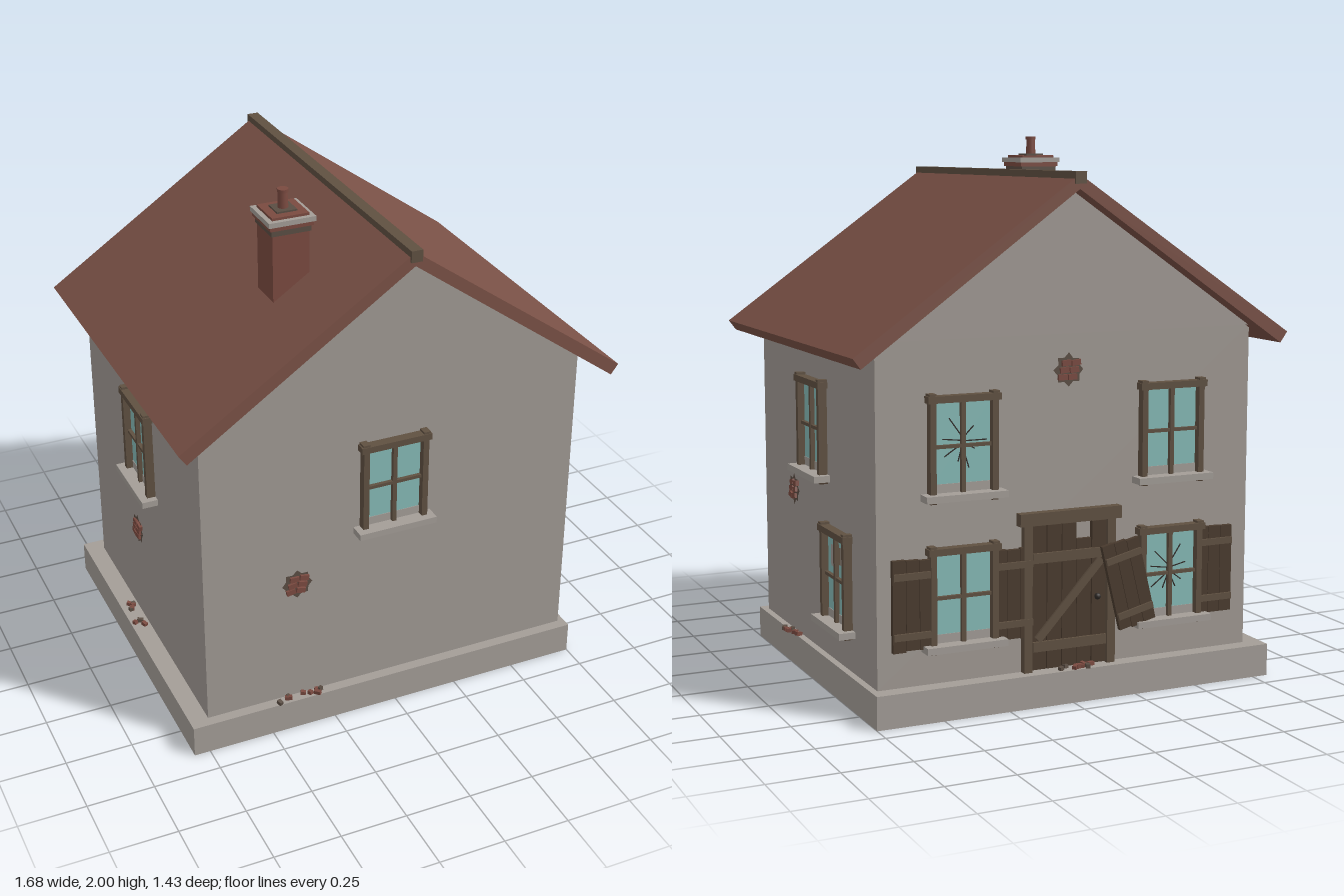
import * as THREE from 'three';

const mat = (name, color, side = THREE.FrontSide) => {
  const m = new THREE.MeshStandardMaterial({ color, side });
  m.name = name;
  return m;
};

export function createModel() {
  const M = {
    wall: mat('plaster', 0xa09993),
    stone: mat('stone', 0xa39d97),
    roof: mat('roof tile', 0x7a5146),
    brick: mat('brick', 0x7a4a40),
    wood: mat('frame wood', 0x5f5041),
    dark: mat('dark wood', 0x4a3b2e),
    glass: mat('glass', 0x86bab6, THREE.DoubleSide),
    edge: mat('broken plaster edge', 0x5a4d43, THREE.DoubleSide),
    crack: mat('crack', 0x2f2a27),
  };
  const house = new THREE.Group();
  house.name = 'house';

  let seed = 7;
  const rnd = () => (seed = (seed * 16807) % 2147483647) / 2147483647;

  const add = (parent, name, geo, material, x = 0, y = 0, z = 0) => {
    const m = new THREE.Mesh(geo, material);
    m.name = name;
    m.position.set(x, y, z);
    parent.add(m);
    return m;
  };
  // Box given by its min and max corners
  const box = (parent, name, material, x0, x1, y0, y1, z0, z1) =>
    add(parent, name, new THREE.BoxGeometry(x1 - x0, y1 - y0, z1 - z0), material,
      (x0 + x1) / 2, (y0 + y1) / 2, (z0 + z1) / 2);
  const shape = pts => new THREE.Shape(pts.map(p => new THREE.Vector2(...p)));
  const prism = (name, material, pts, z0, z1) =>
    add(house, name, new THREE.ExtrudeGeometry(shape(pts), { depth: z1 - z0, bevelEnabled: false }), material, 0, 0, z0);

  // Body
  box(house, 'plinth', M.stone, -0.81, 0.75, 0, 0.12, -0.67, 0.65);
  box(house, 'walls', M.wall, -0.74, 0.725, 0.12, 1.32, -0.61, 0.61);
  prism('gable', M.wall, [[-0.735, 1.32], [0.72, 1.32], [0.01, 1.825]], -0.635, 0.615);
  prism('roofLeftSlope', M.roof, [[-0.84, 1.297], [-0.812, 1.258], [0.01, 1.82], [0.01, 1.87]], -0.71, 0.705);
  prism('roofRightSlope', M.roof, [[0.01, 1.87], [0.01, 1.82], [0.81, 1.243], [0.838, 1.28]], -0.71, 0.705);
  box(house, 'ridgeBeam', M.wood, -0.011, 0.031, 1.838, 1.88, -0.72, 0.715);

  // Chimney
  const chimney = new THREE.Group();
  chimney.name = 'chimney';
  chimney.position.set(-0.297, 0, 0.312);
  house.add(chimney);
  [['shaft', M.brick, 0.068, 1.55, 1.87], ['lowerBand', M.edge, 0.073, 1.862, 1.884],
    ['corbel', M.brick, 0.08, 1.884, 1.9], ['cap', M.stone, 0.086, 1.9, 1.918],
    ['top', M.brick, 0.068, 1.918, 1.927], ['potBase', M.edge, 0.037, 1.927, 1.933]]
    .forEach(([n, m, r, y0, y1]) => box(chimney, n, m, -r, r, y0, y1, -r, r));
  add(chimney, 'pot', new THREE.CylinderGeometry(0.016, 0.019, 0.07, 12), M.brick, 0, 1.965, 0);
  add(chimney, 'potRim', new THREE.CylinderGeometry(0.02, 0.02, 0.012, 12), M.brick, 0, 1.994, 0);

  // One local frame per wall: x along the wall, y up, z outwards
  const side = (name, angle, x, z) => {
    const g = new THREE.Group();
    g.name = name;
    g.rotation.y = angle;
    g.position.set(x, 0, z);
    house.add(g);
    return g;
  };
  const front = side('frontWall', 0, 0, 0.61);
  const right = side('rightWall', -Math.PI / 2, -0.74, 0);
  const left = side('leftWall', Math.PI / 2, 0.725, 0);
  const back = side('backWall', Math.PI, 0, -0.61);

  // Window; u is its centre, v the underside of its sill
  function windowAt(wall, u, v, state = '') {
    const g = new THREE.Group();
    g.name = 'window';
    g.position.set(u, v, 0);
    wall.add(g);
    const pane = shape([[-0.11, 0.053], [0.11, 0.053], [0.11, 0.338], [-0.11, 0.338]]);
    if (state === 'broken') {
      const hole = shape([[-0.075, 0.296], [0.035, 0.3], [0.035, 0.26], [0.052, 0.258], [0.052, 0.238],
        [0.004, 0.235], [0.004, 0.18], [-0.036, 0.18], [-0.036, 0.217], [-0.075, 0.217]]);
      pane.holes.push(hole);
    }
    add(g, 'glass', new THREE.ShapeGeometry(pane), M.glass, 0, 0, 0.006);
    box(g, 'lowerLedge', M.stone, -0.11, 0.11, 0.02, 0.055, 0, 0.008);
    box(g, 'sill', M.stone, -0.152, 0.152, 0, 0.024, 0, 0.06);
    box(g, 'lintel', M.wood, -0.136, 0.136, 0.338, 0.362, 0, 0.037);
    for (const s of [-1, 1]) {
      box(g, 'jamb', M.wood, s * 0.116 - 0.011, s * 0.116 + 0.011, 0.024, 0.345, 0, 0.032);
      box(g, 'lintelPeg', M.wood, s * 0.118 - 0.013, s * 0.118 + 0.013, 0.355, 0.37, 0, 0.034);
      box(g, 'sillBracket', M.dark, s * 0.115 - 0.012, s * 0.115 + 0.012, -0.01, 0, 0, 0.03);
    }
    box(g, 'mullion', M.wood, -0.008, 0.008, 0.024, 0.34, 0, 0.022);
    box(g, 'crossBar', M.wood, -0.11, 0.11, 0.179, 0.191, 0, 0.02);
    if (state === 'cracked') {
      for (let i = 0; i < 9; i++) {
        const a = i * 0.7 + rnd() * 0.3, r = 0.05 + rnd() * 0.045;
        const c = add(g, 'crackLine', new THREE.BoxGeometry(r, 0.004, 0.002), M.crack,
          Math.cos(a) * r * 0.5, 0.2 + Math.sin(a) * r * 0.7, 0.009);
        c.rotation.z = a;
      }
    }
  }
  windowAt(front, -0.012, 0.767);
  windowAt(right, 0, 0.767);
  windowAt(left, 0, 0.767);
  windowAt(left, 0.245, 0.25, 'broken');
  windowAt(back, -0.41, 0.767, 'cracked');
  windowAt(back, 0.41, 0.767);
  windowAt(back, -0.41, 0.24);
  windowAt(back, 0.41, 0.24, 'cracked');

  // Plank shutters, one of them hanging loose
  function shutter(u, v, z = 0.012, tilt = 0) {
    const g = new THREE.Group();
    g.name = 'shutter';
    g.position.set(u, v, z);
    g.rotation.z = tilt;
    back.add(g);
    for (let i = -1; i <= 1; i++)
      box(g, 'plank', M.dark, i * 0.05 - 0.024, i * 0.05 + 0.024, -0.165 + rnd() * 0.01, 0.165 - rnd() * 0.01, -0.009, 0.009);
    for (const y of [-0.105, 0.105]) box(g, 'batten', M.wood, -0.072, 0.072, y - 0.012, y + 0.012, 0, 0.017);
  }
  shutter(-0.6, 0.41);
  shutter(-0.22, 0.41);
  shutter(0.225, 0.41, 0.04, 0.24);
  shutter(0.595, 0.42);

  // Plank door with braces
  const door = new THREE.Group();
  door.name = 'door';
  back.add(door);
  for (let i = -2; i <= 2; i++)
    box(door, 'doorPlank', M.dark, i * 0.059 - 0.028, i * 0.059 + 0.028, 0.125, 0.645 - (i === 1 ? 0.06 : 0), 0, 0.014 + rnd() * 0.004);
  for (const y of [0.21, 0.53]) box(door, 'doorBatten', M.wood, -0.145, 0.145, y - 0.018, y + 0.018, 0, 0.025);
  const brace = add(door, 'doorBrace', new THREE.BoxGeometry(0.37, 0.03, 0.012), M.wood, 0, 0.37, 0.018);
  brace.rotation.z = 0.82;
  for (const s of [-1, 1]) box(door, 'doorJamb', M.wood, s * 0.165 - 0.016, s * 0.165 + 0.016, 0.12, 0.66, 0, 0.026);
  box(door, 'doorLintel', M.wood, -0.2, 0.2, 0.65, 0.695, 0, 0.034);
  add(door, 'doorKnob', new THREE.SphereGeometry(0.012, 10, 8), M.crack, 0.11, 0.37, 0.024);

  // Patch of fallen plaster with bare bricks, and rubble below on the plinth
  function damage(wall, u, v, ledge) {
    const g = new THREE.Group();
    g.name = 'fallenPlaster';
    g.position.set(u, v, 0);
    wall.add(g);
    const pts = [];
    for (let i = 0; i < 16; i++) {
      const a = i / 16 * Math.PI * 2, r = (i % 2 ? 0.042 : 0.056) + rnd() * 0.006;
      pts.push([Math.cos(a) * r, Math.sin(a) * r]);
    }
    add(g, 'jaggedEdge', new THREE.ShapeGeometry(shape(pts)), M.edge, 0, 0, 0.004);
    for (let row = -1; row <= 1; row++)
      for (let i = 0; i < 2; i++) {
        const b = add(g, 'bareBrick', new THREE.BoxGeometry(0.034, 0.02, 0.016), M.brick,
          (i - 0.5) * 0.038 + row * 0.007, row * 0.025, 0.005);
        b.rotation.z = (rnd() - 0.5) * 0.5;
      }
    for (let i = 0; i < 8; i++) {
      const w = 0.012 + rnd() * 0.016;
      const b = add(g, 'rubble', new THREE.BoxGeometry(w, 0.014, 0.015), i % 3 ? M.brick : M.edge,
        (rnd() - 0.5) * 0.17, 0.127 - v, ledge * (0.3 + rnd() * 0.7));
      b.rotation.set(0, rnd() * 3, (rnd() - 0.5) * 0.5);
    }
  }
  damage(front, -0.385, 0.61, 0.035);
  damage(left, -0.245, 0.675, 0.045);
  damage(right, -0.1, 0.52, 0.055);
  damage(back, 0, 1.19, 0.05);

  return house;
}
